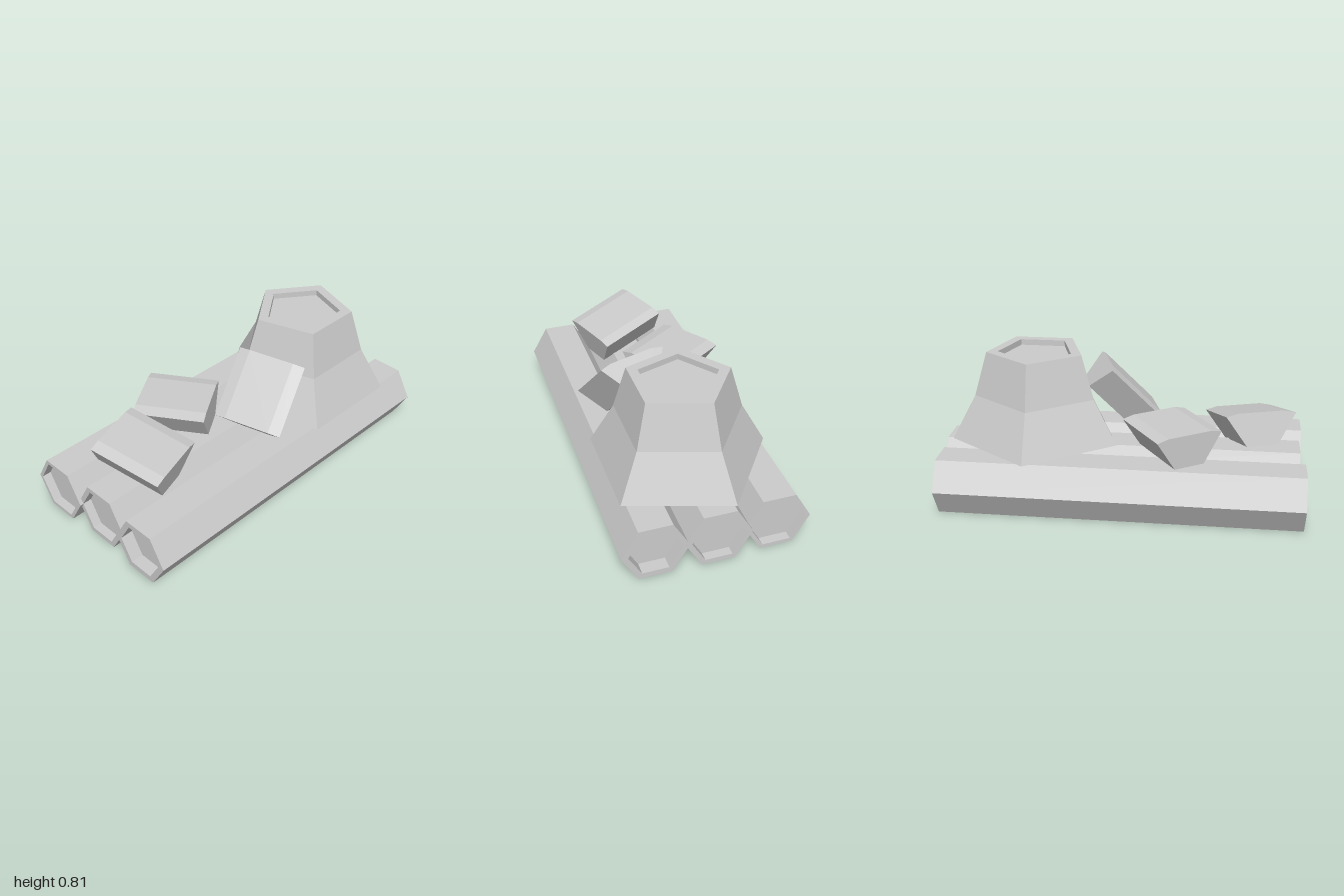
import * as THREE from 'three';

const material = new THREE.MeshStandardMaterial({ color: 0xcccccc, flatShading: true });

// Faceted solid of revolution from a bottom-to-top list of [radius, y]
function facetedLathe(points, sides, phiStart) {
  const profile = points.map(([r, y]) => new THREE.Vector2(r, y));
  const geometry = new THREE.LatheGeometry(profile, sides, phiStart).toNonIndexed();
  geometry.computeVertexNormals();
  return geometry;
}

function addMesh(group, name, geometry) {
  const mesh = new THREE.Mesh(geometry, material);
  mesh.name = name;
  group.add(mesh);
  return mesh;
}

// Hexagonal log along z with a recess in both ends
function addLog(group, name, x, zBack, zFront, inner, depth) {
  const r = 0.178, h = (zFront - zBack) / 2;
  const geometry = facetedLathe([
    [0, -h + depth], [inner, -h + depth], [inner, -h], [r, -h],
    [r, h], [inner, h], [inner, h - depth], [0, h - depth],
  ], 6, Math.PI / 2);
  geometry.rotateX(Math.PI / 2);
  addMesh(group, name, geometry).position.set(x, 0.155, (zBack + zFront) / 2);
}

// Split chunk: slightly bulged wide face at local y = 0, narrowing below
function chunkGeometry() {
  const length = 0.395;
  const section = new THREE.Shape([
    [-0.088, -0.167], [0.088, -0.167], [0.195, 0], [0.13, 0.015], [-0.13, 0.015], [-0.195, 0],
  ].map(([x, y]) => new THREE.Vector2(x, y)));
  const geometry = new THREE.ExtrudeGeometry(section, { depth: length, bevelEnabled: false });
  return geometry.translate(0, 0, -length / 2);
}

export function createModel() {
  const model = new THREE.Group();
  model.name = 'logPile';

  // Row of three logs
  addLog(model, 'rightLog', -0.327, -0.98, 1, 0.154, 0.05);
  addLog(model, 'middleLog', -0.005, -1, 0.98, 0.146, 0.05);
  addLog(model, 'leftLog', 0.327, -0.995, 1, 0.141, 0.07);

  // Five-sided stump, flared at the base, recessed on top
  const stump = facetedLathe([
    [0, 0.31], [0.49, 0.31], [0.353, 0.56], [0.28, 0.808],
    [0.216, 0.808], [0.216, 0.775], [0, 0.775],
  ], 5, -Math.PI / 2);
  addMesh(model, 'stump', stump).position.set(0.046, 0, -0.5);

  // Split chunks: centre of the wide face, its normal, and the grain direction
  const chunk = chunkGeometry();
  const chunks = [
    ['sideChunk', [-0.174, 0.475, 0.275], [0, 1, 0], [0.833, 0, -0.553]],
    ['leaningChunk', [0.207, 0.57, 0.0125], [0.219, 0.693, 0.686], [0.177, -0.72, 0.67]],
    ['frontChunk', [0.0375, 0.495, 0.695], [0.24, 0.967, -0.077], [0.919, -0.252, -0.302]],
  ];
  for (const [name, centre, normal, grain] of chunks) {
    const u = new THREE.Vector3(...grain).normalize();
    const w = new THREE.Vector3(...normal).cross(u).normalize();
    const n = u.clone().cross(w);
    const mesh = addMesh(model, name, chunk);
    mesh.quaternion.setFromRotationMatrix(new THREE.Matrix4().makeBasis(w, n, u));
    mesh.position.set(...centre);
  }
  return model;
}
